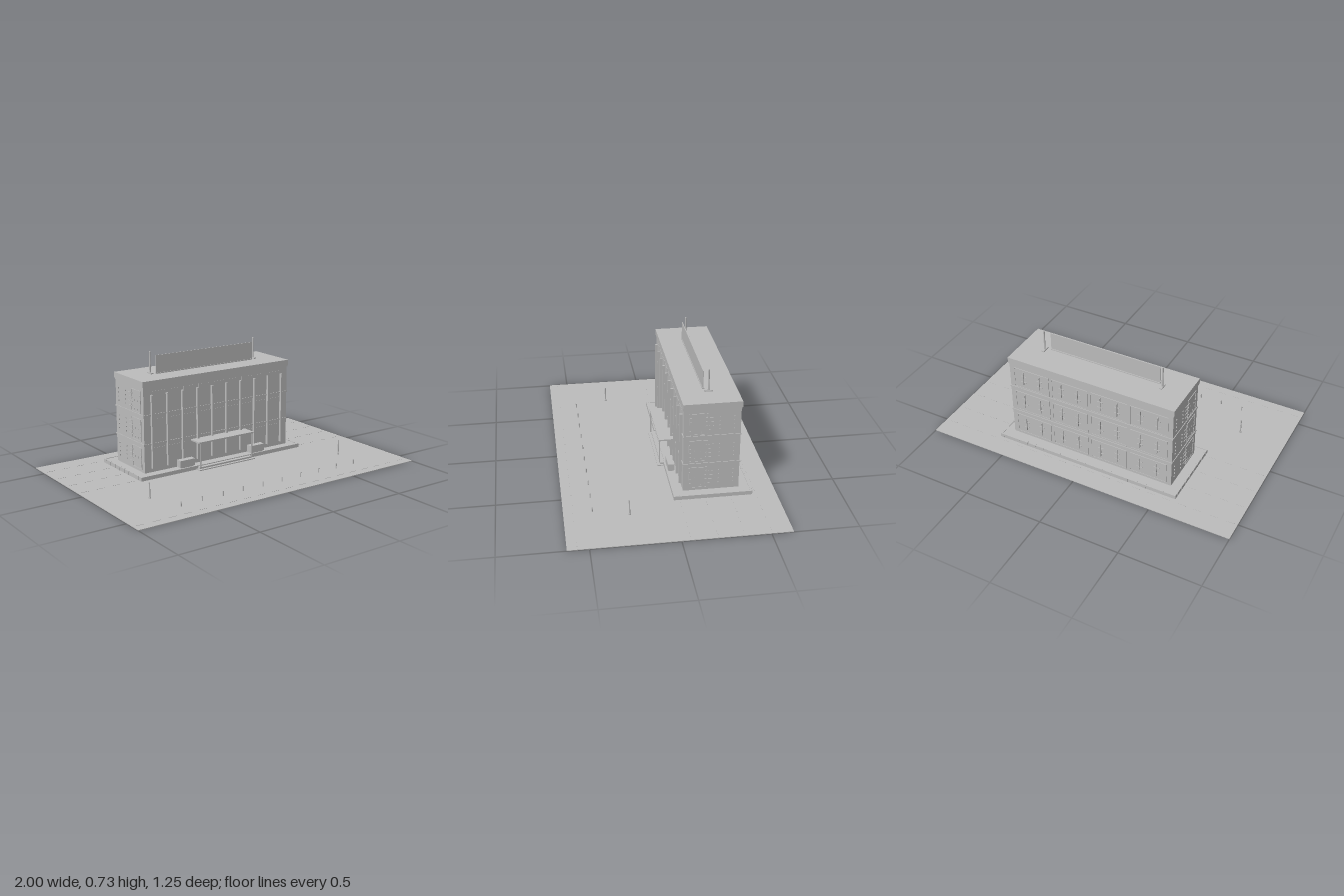
import * as THREE from 'three';

export function createModel() {
  const model = new THREE.Group();
  const grey = new THREE.MeshStandardMaterial({ color: 0xbcbcbc });
  grey.name = 'concrete grey';

  // Box given by its x, y and z limits
  const box = (name, x0, x1, y0, y1, z0, z1, parent = model) => {
    const mesh = new THREE.Mesh(new THREE.BoxGeometry(x1 - x0, y1 - y0, z1 - z0), grey);
    mesh.position.set((x0 + x1) / 2, (y0 + y1) / 2, (z0 + z1) / 2);
    mesh.name = name;
    parent.add(mesh);
    return mesh;
  };
  const post = (name, x, z, y0, y1, r) => {
    const mesh = new THREE.Mesh(new THREE.CylinderGeometry(r, r, y1 - y0, 10), grey);
    mesh.position.set(x, (y0 + y1) / 2, z);
    mesh.name = name;
    model.add(mesh);
  };
  const group = (name) => {
    const g = new THREE.Group();
    g.name = name;
    model.add(g);
    return g;
  };

  // Plaza with painted bay dashes
  box('plaza', -1, 1, 0, 0.004, -0.625, 0.622);
  const dashes = group('plazaDashes');
  for (const z of [-0.505, -0.355, -0.205, -0.055, 0.565]) {
    for (let i = 0; i < 20; i++) {
      const x = -0.955 + i * 0.1;
      if (z < 0 && Math.abs(x) < 0.62 && z > -0.5) continue;
      box('dash', x - 0.025, x + 0.025, 0.004, 0.0055, z - 0.002, z + 0.002, dashes);
    }
  }

  // Plinth with a thin kerb and paving joints
  box('plinth', -0.6, 0.6, 0.004, 0.025, -0.48, -0.025);
  const kerb = group('kerb');
  for (const s of [-1, 1]) {
    box('kerbSide', s * 0.597 - 0.005, s * 0.597 + 0.005, 0.004, 0.028, -0.483, -0.02, kerb);
    box('kerbFront', s * 0.4 - 0.2, s * 0.4 + 0.2, 0.004, 0.028, -0.03, -0.02, kerb);
    for (let i = 0; i < 8; i++) {
      const z = -0.45 + i * 0.056;
      box('joint', s * 0.597 - 0.007, s * 0.597 + 0.007, 0.004, 0.029, z - 0.002, z + 0.002, kerb);
    }
  }
  box('kerbBack', -0.6, 0.6, 0.004, 0.028, -0.483, -0.473, kerb);
  for (let i = 0; i < 21; i++) {
    const x = -0.58 + i * 0.058;
    box('joint', x - 0.002, x + 0.002, 0.004, 0.029, -0.484, -0.471, kerb);
  }

  // Main block, floor bands and roof slab
  box('mainBlock', -0.54, 0.54, 0.02, 0.56, -0.413, -0.083);
  for (const y of [0.2, 0.38]) box('floorBand', -0.544, 0.544, y - 0.005, y + 0.005, -0.417, -0.079);
  box('corniceBand', -0.543, 0.543, 0.545, 0.555, -0.416, -0.08);
  box('roofSlab', -0.546, 0.546, 0.555, 0.59, -0.419, -0.077);

  // Front fins
  const fins = group('frontFins');
  for (let i = 0; i < 10; i++) {
    const x = -0.488 + i * 0.1084;
    box('fin', x - 0.005, x + 0.005, 0.05, 0.505, -0.084, -0.066, fins);
  }

  // Window frames and slots, repeated on each storey
  const floors = [[0.043, 0.175], [0.218, 0.352], [0.393, 0.525]];
  const windows = group('windows');
  for (const [y0, y1] of floors) {
    const h = y1 - y0;
    for (const s of [-1, 1]) {
      const side = (name, za, zb, ya, yb, d) =>
        box(name, s * 0.54 - d, s * 0.54 + d, ya, yb, za, zb, windows);
      side('sidePane', -0.22, -0.115, y0, y1, 0.0015);
      for (const z of [-0.22, -0.115]) side('sideFrame', z - 0.002, z + 0.002, y0, y1, 0.004);
      for (const y of [y0, y1]) side('sideFrame', -0.222, -0.113, y - 0.002, y + 0.002, 0.004);
      for (let k = 1; k < 5; k++) {
        const y = y0 + h * k / 5;
        for (const z of [-0.214, -0.121]) side('sideClip', z - 0.006, z + 0.006, y - 0.002, y + 0.002, 0.005);
        side('sideLouvre', -0.255, -0.228, y - 0.0015, y + 0.0015, 0.003);
        for (const z of [-0.29, -0.375]) side('sideStud', z - 0.002, z + 0.002, y - 0.004, y + 0.004, 0.006);
      }
      for (const f of [0.3, 0.7]) for (const z of [-0.15, -0.185]) {
        side('sideClip', z - 0.002, z + 0.002, y0 + h * f - 0.03, y0 + h * f - 0.02, 0.004);
      }
    }
    // Rear panels, pilaster strips and studs
    for (let i = 0; i < 4; i++) {
      const x = -0.39 + i * 0.26;
      box('rearPanel', x - 0.118, x + 0.118, y0, y1, -0.4145, -0.41, windows);
      for (const e of [-0.118, 0.118]) box('rearFrame', x + e - 0.002, x + e + 0.002, y0, y1, -0.417, -0.41, windows);
      for (const y of [y0, y1]) box('rearFrame', x - 0.12, x + 0.12, y - 0.002, y + 0.002, -0.417, -0.41, windows);
      for (const e of [-0.055, 0.055]) {
        box('rearMullion', x + e - 0.002, x + e + 0.002, y0 + 0.025, y1 - 0.015, -0.422, -0.41, windows);
        for (const f of [0.35, 0.65]) {
          const y = y0 + h * f;
          box('rearClip', x + e - 0.018, x + e + 0.018, y - 0.002, y + 0.002, -0.418, -0.41, windows);
        }
      }
    }
    // Front glazing between the fins
    for (let i = 0; i < 9; i++) {
      const x = -0.434 + i * 0.1084;
      box('frontPane', x - 0.043, x + 0.043, y0, y1, -0.084, -0.0815, windows);
    }
  }

  // Entrance: steps, canopy, posts and planters
  box('lowerStep', -0.21, 0.21, 0.004, 0.01, -0.08, 0.018);
  box('upperStep', -0.2, 0.2, 0.01, 0.02, -0.08, 0);
  box('canopy', -0.208, 0.205, 0.174, 0.183, -0.083, 0.01);
  for (const s of [-1, 1]) {
    box('canopyPost', s * 0.195 - 0.004, s * 0.195 + 0.004, 0.02, 0.175, 0.001, 0.008);
    box('planter', s * 0.267 - 0.053, s * 0.267 + 0.053, 0.033, 0.075, -0.07, -0.03);
    box('planterFoot', s * 0.267 - 0.045, s * 0.267 + 0.045, 0.022, 0.034, -0.066, -0.034);
  }

  // Rooftop screen between two masts
  box('roofScreen', -0.365, 0.36, 0.595, 0.705, -0.226, -0.221);
  for (const s of [-1, 1]) {
    post('roofMast', s * 0.39, -0.25, 0.59, 0.728, 0.005);
    box('mastFoot', s * 0.39 - 0.008, s * 0.39 + 0.008, 0.59, 0.597, -0.275, -0.225);
  }
  box('screenFoot', -0.365, 0.36, 0.59, 0.596, -0.232, -0.218);

  // Bollards and lamp posts
  for (let i = 0; i < 10; i++) post('bollard', -0.632 + i * 0.1422, 0.457, 0.004, 0.034, 0.004);
  for (const s of [-1, 1]) {
    post('lampPost', s * 0.708, 0.25, 0.004, 0.1, 0.004);
    post('lampFoot', s * 0.708, 0.25, 0.004, 0.012, 0.007);
  }
  return model;
}
